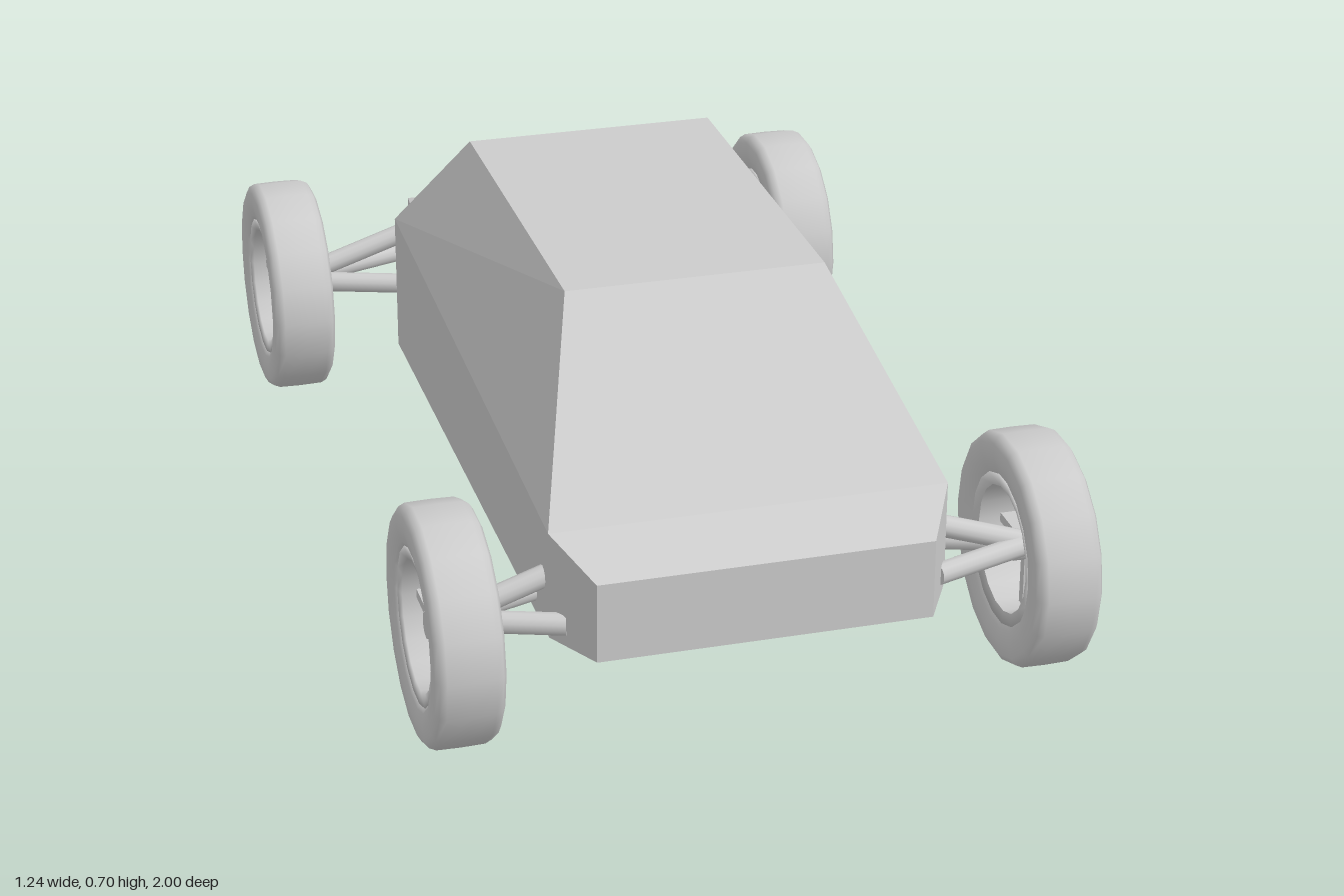
import * as THREE from 'three';

const grey = new THREE.MeshStandardMaterial({ color: 0xcccccc });
const flatGrey = new THREE.MeshStandardMaterial({ color: 0xcccccc, flatShading: true });

function mesh(name, geometry, material = grey) {
  const m = new THREE.Mesh(geometry, material);
  m.name = name;
  return m;
}

// Straight rod between two points
function rod(name, a, b, radius) {
  const from = new THREE.Vector3(...a), to = new THREE.Vector3(...b);
  const dir = to.clone().sub(from);
  const m = mesh(name, new THREE.CylinderGeometry(radius, radius, dir.length(), 12));
  m.position.copy(from).add(to).multiplyScalar(0.5);
  m.quaternion.setFromUnitVectors(new THREE.Vector3(0, 1, 0), dir.normalize());
  return m;
}

// Faceted shell: a row of stations [half width, shoulder height, z] plus a roof
function createBody() {
  const floor = 0.19;
  const stations = [
    [0.315, 0.345, 0.93], [0.375, 0.4, 0.82], [0.375, 0.475, -0.48],
    [0.31, 0.432, -0.61], [0.25, 0.32, -0.95],
  ];
  const pos = [];
  const quad = (a, b, c, d) => pos.push(...a, ...b, ...c, ...a, ...c, ...d);
  const low = (i, s) => [s * stations[i][0], floor, stations[i][2]];
  const high = (i, s) => [s * stations[i][0], stations[i][1], stations[i][2]];
  const roofFront = (s) => [s * 0.25, 0.7, 0.46];
  const roofBack = (s) => [s * 0.25, 0.7, -0.31];

  for (let i = 0; i < stations.length - 1; i++) {
    const j = i + 1;
    quad(low(i, 1), low(j, 1), high(j, 1), high(i, 1));
    quad(low(j, -1), low(i, -1), high(i, -1), high(j, -1));
    quad(low(i, -1), low(j, -1), low(j, 1), low(i, 1));
    if (i !== 1) quad(high(i, -1), high(i, 1), high(j, 1), high(j, -1));
  }
  // Nose and tail
  quad(low(0, -1), low(0, 1), high(0, 1), high(0, -1));
  quad(low(4, 1), low(4, -1), high(4, -1), high(4, 1));
  // Cabin: windscreen, rear window, sides, roof
  quad(high(1, -1), high(1, 1), roofFront(1), roofFront(-1));
  quad(high(2, 1), high(2, -1), roofBack(-1), roofBack(1));
  quad(high(1, 1), high(2, 1), roofBack(1), roofFront(1));
  quad(high(2, -1), high(1, -1), roofFront(-1), roofBack(-1));
  quad(roofFront(-1), roofFront(1), roofBack(1), roofBack(-1));

  const g = new THREE.BufferGeometry();
  g.setAttribute('position', new THREE.Float32BufferAttribute(pos, 3));
  g.computeVertexNormals();
  return mesh('body', g, flatGrey);
}

// Ring around the x axis from a closed [radius, offset] profile
function ring(name, profile) {
  const g = new THREE.LatheGeometry(profile.map((p) => new THREE.Vector2(...p)), 18);
  g.rotateZ(-Math.PI / 2);
  return mesh(name, g);
}

// Wheel with its outer face towards +x
function createWheel(name) {
  const wheel = new THREE.Group();
  wheel.name = name;
  wheel.add(ring('tyre', [
    [0.14, -0.05], [0.155, -0.06], [0.18, -0.065], [0.205, -0.064], [0.217, -0.057], [0.2225, -0.045],
    [0.2235, 0], [0.2225, 0.045], [0.217, 0.057], [0.205, 0.064], [0.18, 0.065], [0.155, 0.06],
    [0.14, 0.05], [0.14, -0.05],
  ]));
  wheel.add(ring('rim', [
    [0.122, -0.052], [0.146, -0.056], [0.146, 0.056], [0.122, 0.052], [0.122, -0.052],
  ]));
  const hub = mesh('hub', new THREE.CylinderGeometry(0.025, 0.025, 0.07, 14));
  hub.rotation.z = Math.PI / 2;
  wheel.add(hub);
  for (let i = 0; i < 4; i++) {
    const g = new THREE.BoxGeometry(0.035, 0.115, 0.018);
    g.translate(0.008, 0.072, 0);
    const spoke = mesh('spoke', g);
    spoke.rotation.x = (i * Math.PI) / 2;
    wheel.add(spoke);
  }
  return wheel;
}

// Wheel and suspension arms for one corner
function createCorner(name, side, z, arms) {
  const corner = new THREE.Group();
  corner.name = name;
  const wheel = createWheel('wheel');
  wheel.position.set(side * 0.556, 0.2235, z);
  if (side < 0) wheel.rotation.y = Math.PI;
  corner.add(wheel);
  arms.forEach(([part, inner, outer]) => corner.add(rod(part,
    [side * inner[0], inner[1], inner[2]], [side * outer[0], outer[1], outer[2]], 0.021)));
  return corner;
}

export function createModel() {
  const model = new THREE.Group();
  model.name = 'buggy';
  model.add(createBody());

  const frontArms = [
    ['lowerFrontArm', [0.35, 0.23, 0.85], [0.54, 0.23, 0.785]],
    ['lowerRearArm', [0.35, 0.23, 0.70], [0.54, 0.23, 0.765]],
    ['upperArm', [0.32, 0.31, 0.775], [0.54, 0.235, 0.775]],
  ];
  const rearArms = [
    ['lowerFrontArm', [0.27, 0.23, -0.68], [0.54, 0.23, -0.77]],
    ['lowerRearArm', [0.24, 0.23, -0.885], [0.54, 0.23, -0.785]],
    ['upperArm', [0.25, 0.33, -0.777], [0.54, 0.235, -0.777]],
  ];
  for (const side of [1, -1]) {
    const label = side > 0 ? 'Left' : 'Right';
    model.add(createCorner('front' + label + 'Corner', side, 0.777, frontArms));
    model.add(createCorner('rear' + label + 'Corner', side, -0.777, rearArms));
  }
  return model;
}
